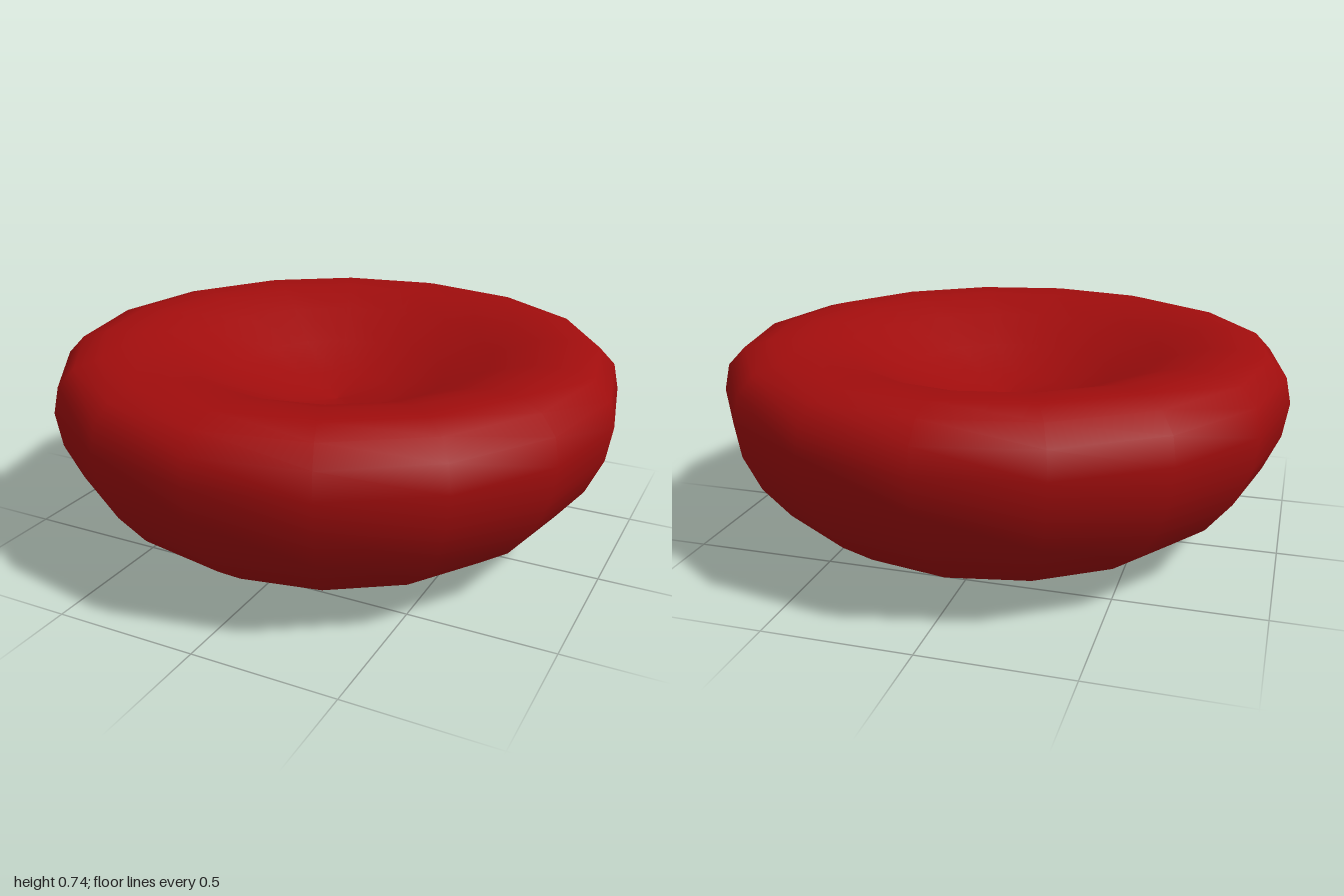
import * as THREE from 'three';

const SIDES = 16;

// Heights of the rings from the bottom pole, round the rim, to the dimple centre.
const heights = [
  0, 0.004, 0.016, 0.051, 0.11, 0.2, 0.315, 0.44,
  0.56,
  0.65, 0.71, 0.735, 0.73, 0.682, 0.598, 0.525, 0.495,
];

export function createModel() {
  const group = new THREE.Group();
  group.name = 'dimpledDisc';

  // Ring radii follow a sphere; the upper half is pressed in to form the dimple.
  const last = heights.length - 1;
  const profile = heights.map((y, i) => {
    const r = i === 0 || i === last ? 0 : Math.sin((i * Math.PI) / last);
    return new THREE.Vector2(r, y);
  });

  const body = new THREE.Mesh(
    new THREE.LatheGeometry(profile, SIDES),
    new THREE.MeshStandardMaterial({ color: 0xa00d0d })
  );
  body.name = 'cellBody';
  group.add(body);

  return group;
}
